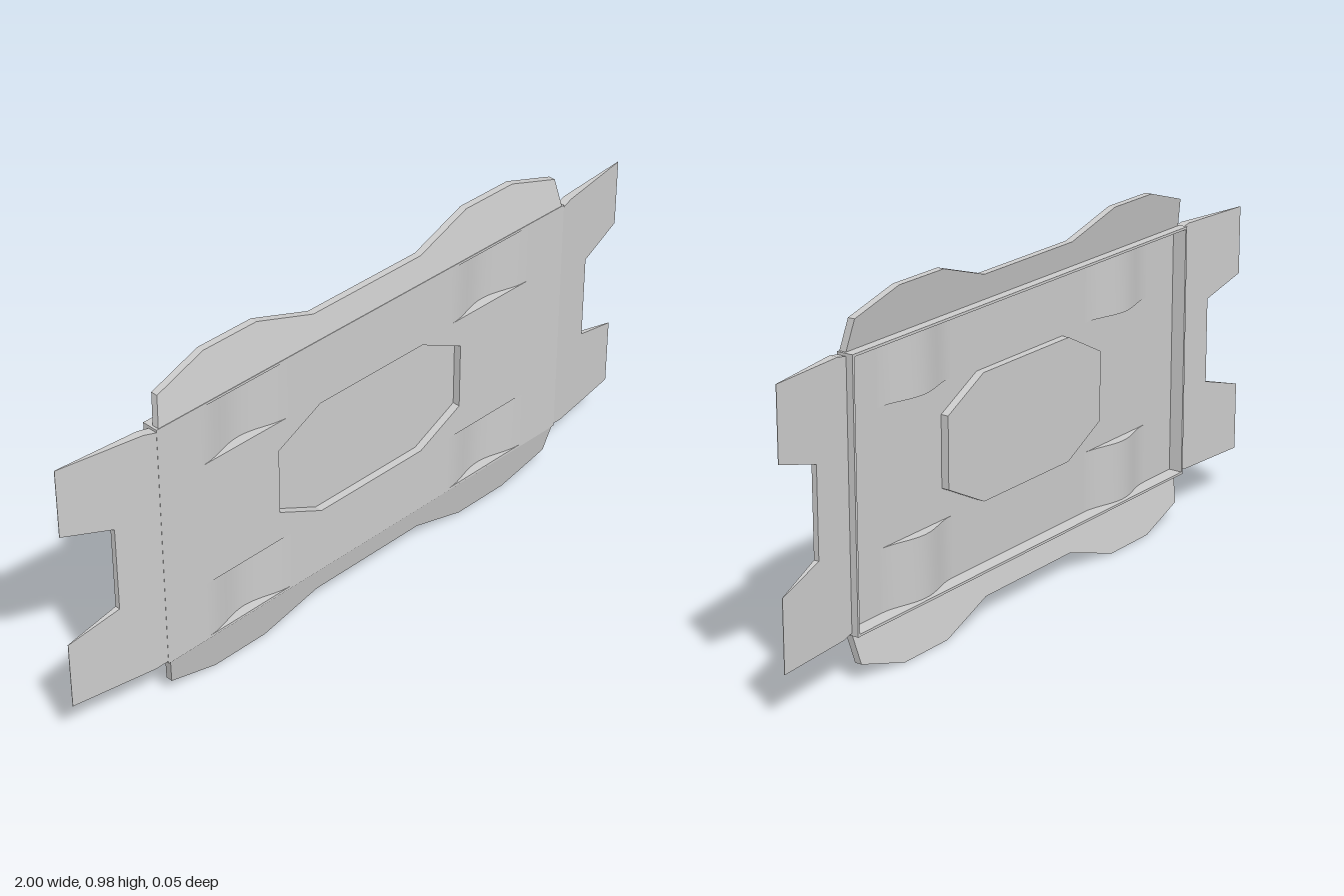
import * as THREE from 'three';

const CY = 0.489;            // height of the panel centre
const FRONT = 0.024;         // front skin
const BACK = -0.023;         // rear edge of the rim
const T = 0.007;             // sheet thickness
const W = 0.725, H = 0.36;   // half size of the pan

const material = new THREE.MeshStandardMaterial({ color: 0xcccccc, side: THREE.DoubleSide });
const pts = (list) => list.map(([x, y]) => new THREE.Vector2(x, y));
const rect = (w, h, x = 0, y = 0) => pts([[x - w, y - h], [x + w, y - h], [x + w, y + h], [x - w, y + h]]);

// Flat outline with holes, filled between two depths (numbers or rules of x, y)
function slab(name, outline, back, front, holes = []) {
  const shape = new THREE.Shape(outline);
  holes.forEach((h) => shape.holes.push(new THREE.Path(h)));
  const geo = new THREE.ExtrudeGeometry(shape, { depth: 1, bevelEnabled: false });
  const at = (f, x, y) => (typeof f === 'function' ? f(x, y) : f);
  const p = geo.attributes.position;
  for (let i = 0; i < p.count; i++) {
    const x = p.getX(i), y = p.getY(i);
    p.setZ(i, at(p.getZ(i) > 0.5 ? front : back, x, y));
  }
  geo.computeVertexNormals();
  const mesh = new THREE.Mesh(geo, material);
  mesh.name = name;
  return mesh;
}

// Octagon with long corner cuts
const octagon = (inset = 0) => {
  const a = 0.335 - inset, b = 0.173 - inset, c = 0.187 - inset * 0.6, d = 0.098 - inset * 0.4;
  return pts([[a, -d], [a, d], [c, b], [-c, b], [-a, d], [-a, -d], [-c, -b], [c, -b]]);
};

// Shallow trough pressed backwards, curved along x, with a closed wall at each end
function trough(x, y, halfW, halfH, sag) {
  const group = new THREE.Group();
  group.name = 'trough';
  const n = 16;
  const z = (u) => FRONT - T / 2 - sag * (0.5 + 0.5 * Math.cos(Math.PI * u));
  const skin = (offset) => new THREE.PlaneGeometry(halfW * 2, halfH * 2, n, 1).translate(0, 0, offset);
  for (const offset of [T / 2, -T / 2]) {
    const geo = skin(offset);
    const p = geo.attributes.position;
    for (let i = 0; i < p.count; i++) p.setZ(i, z(p.getX(i) / halfW) + offset);
    geo.computeVertexNormals();
    const mesh = new THREE.Mesh(geo, material);
    mesh.name = 'troughSkin';
    group.add(mesh);
  }
  const section = [];
  for (let i = 0; i <= n; i++) {
    const u = (i / n) * 2 - 1;
    section.push([u * halfW, z(u) - T / 2]);
  }
  section.push([halfW, FRONT], [-halfW, FRONT]);
  for (const s of [-1, 1]) {
    const wall = new THREE.Mesh(new THREE.ShapeGeometry(new THREE.Shape(pts(section))), material);
    wall.name = 'troughEndWall';
    wall.rotation.x = Math.PI / 2;
    wall.scale.y = 1;
    wall.position.y = s * halfH;
    group.add(wall);
  }
  group.position.set(x, y, 0);
  return group;
}

export function createModel() {
  const model = new THREE.Group();
  model.name = 'stampedPanel';
  const body = new THREE.Group();
  body.name = 'body';
  body.position.y = CY;
  model.add(body);

  // Front skin, opened where the pressings sit
  const tx = 0.44, ty = 0.268, tw = 0.145, th = 0.085;
  const corners = [[-1, -1], [1, -1], [1, 1], [-1, 1]];
  const holes = corners.map(([sx, sy]) => rect(tw, th, sx * tx, sy * ty));
  body.add(slab('frontPlate', rect(W, H), FRONT - T, FRONT, [octagon(), ...holes]));
  for (const [sx, sy] of corners) body.add(trough(sx * tx, sy * ty, tw, th, 0.028));

  // Octagonal pressing: wall and floor
  const floor = FRONT - 0.022;
  body.add(slab('octagonWall', octagon(), floor - T, FRONT, [octagon(0.004)]));
  body.add(slab('octagonFloor', octagon(0.002), floor - T, floor));

  // Rim turned back around the pan
  body.add(slab('rim', rect(W, H), BACK, FRONT, [rect(W - T, H - T)]));

  // Scalloped flaps above and below
  const longFlap = pts([
    [-0.718, 0.358], [0.718, 0.358], [0.703, 0.441], [0.545, 0.489], [0.37, 0.489],
    [0.19, 0.432], [-0.19, 0.432], [-0.37, 0.489], [-0.545, 0.489], [-0.703, 0.441],
  ]);
  const longFront = (x, y) => 0.0225 - (y - 0.36) * 0.2;
  // Notched flaps at the sides, thinning towards the tips
  const endFlap = pts([
    [0.722, -0.352], [0.76, -0.36], [1, -0.36], [1, -0.165], [0.853, -0.122],
    [0.853, 0.122], [1, 0.165], [1, 0.36], [0.76, 0.36], [0.722, 0.352],
  ]);
  const endFront = (x) => 0.0225 - ((x - 0.73) / 0.27) * 0.045;
  const endBack = (x) => -0.004 - ((x - 0.73) / 0.27) * 0.02;

  for (const turn of [0, Math.PI]) {
    const long = slab(turn ? 'bottomFlap' : 'topFlap', longFlap, (x, y) => longFront(x, y) - 0.02, longFront);
    const end = slab(turn ? 'rightFlap' : 'leftFlap', endFlap, endBack, endFront);
    long.rotation.z = end.rotation.z = turn;
    body.add(long, end);
  }
  return model;
}
